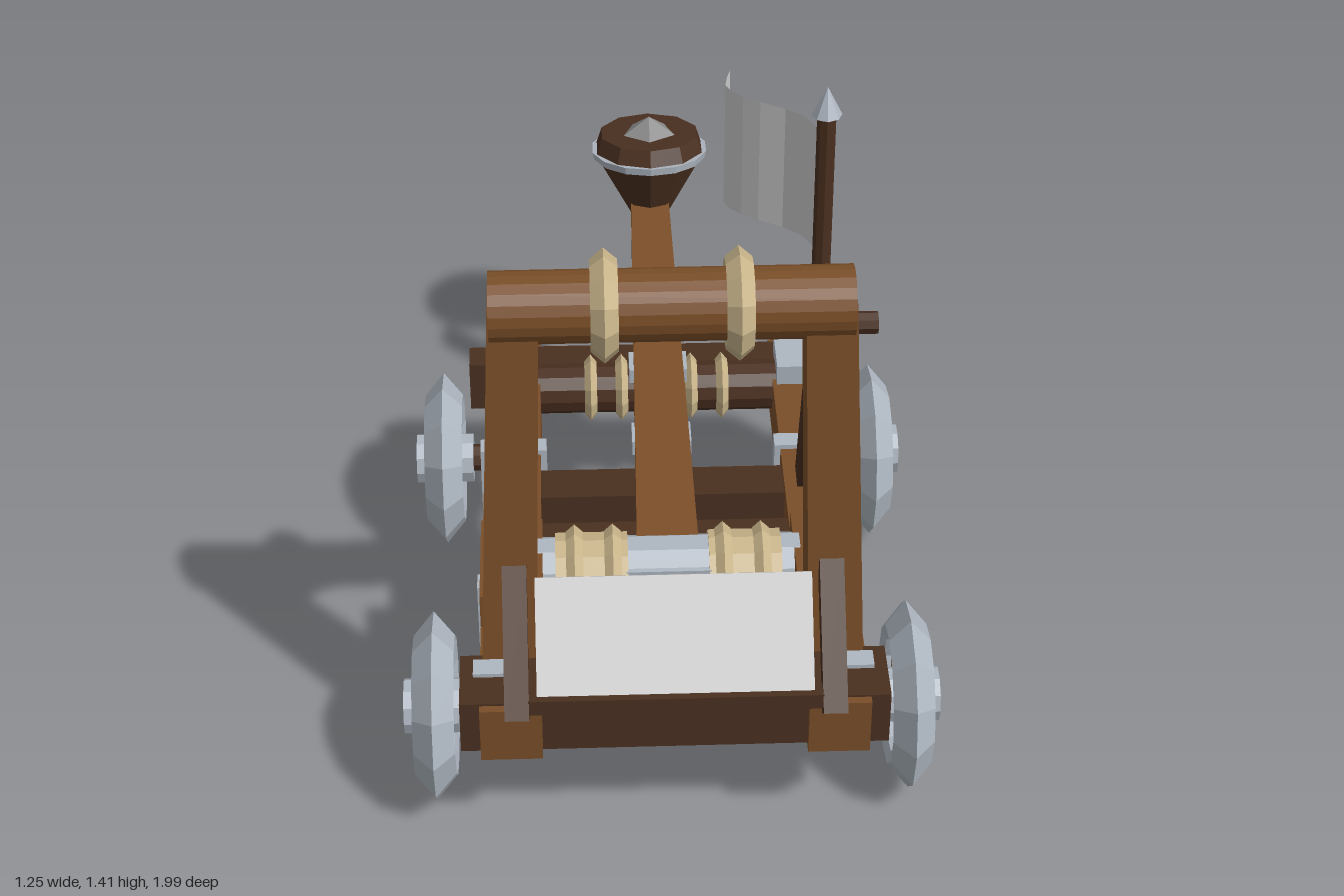
import * as THREE from 'three';

const mat = (color, side = THREE.FrontSide) => new THREE.MeshStandardMaterial({ color, flatShading: true, side });
const WOOD = mat(0x7a4e28), DARK = mat(0x4a3020), METAL = mat(0xaeb6c0), ROPE = mat(0xc8b48a);
const STONE = mat(0x8c8c8c), GREY = mat(0xcccccc), CLOTH = mat(0xcccccc, THREE.DoubleSide);
const V = (x, y, z) => new THREE.Vector3(x, y, z);

export function createModel() {
  const root = new THREE.Group();

  const add = (name, geo, m, x = 0, y = 0, z = 0, parent = root) => {
    const mesh = new THREE.Mesh(geo, m);
    mesh.name = name;
    mesh.position.set(x, y, z);
    parent.add(mesh);
    return mesh;
  };
  // box given by its limits on each axis
  const block = (name, m, [x0, x1], [y0, y1], [z0, z1]) =>
    add(name, new THREE.BoxGeometry(x1 - x0, y1 - y0, z1 - z0), m, (x0 + x1) / 2, (y0 + y1) / 2, (z0 + z1) / 2);
  // same box on both sides
  const pair = (name, m, [x0, x1], y, z) => {
    block(name, m, [x0, x1], y, z);
    block(name, m, [-x1, -x0], y, z);
  };
  // straight bar between two points
  const bar = (name, m, a, b, w, d) => {
    const mesh = add(name, new THREE.BoxGeometry(w, a.distanceTo(b), d), m);
    mesh.position.copy(a).add(b).multiplyScalar(0.5);
    mesh.quaternion.setFromUnitVectors(V(0, 1, 0), b.clone().sub(a).normalize());
    return mesh;
  };
  // cylinder lying along x
  const roller = (name, m, r, len, x, y, z, sides = 12, parent = root) =>
    add(name, new THREE.CylinderGeometry(r, r, len, sides).rotateZ(Math.PI / 2), m, x, y, z, parent);
  // ring about the x axis with a ridged outside
  const ring = (name, m, inner, shoulder, outer, half, x, y, z, parent = root) => {
    const pts = [[inner, -half * 0.8], [shoulder, -half], [outer, 0], [shoulder, half], [inner, half * 0.8], [inner, -half * 0.8]]
      .map(p => new THREE.Vector2(...p));
    return add(name, new THREE.LatheGeometry(pts, 12).rotateZ(Math.PI / 2), m, x, y, z, parent);
  };
  // six-sided solid whose x, y, z limits change from bottom to top
  const tapered = (name, m, bottom, top) => {
    const geo = new THREE.BoxGeometry(1, 1, 1), p = geo.attributes.position;
    for (let i = 0; i < p.count; i++) {
      const e = p.getY(i) < 0 ? bottom : top;
      p.setXYZ(i, p.getX(i) < 0 ? e.x[0] : e.x[1], e.y, p.getZ(i) < 0 ? e.z[0] : e.z[1]);
    }
    geo.computeVertexNormals();
    return add(name, geo, m);
  };

  // chassis
  pair('sideBeam', WOOD, [0.3, 0.44], [0.265, 0.41], [-0.465, 0.95]);
  pair('winchBlock', WOOD, [0.295, 0.44], [0.215, 0.5], [0.38, 0.66]);
  block('frontCrossBeam', DARK, [-0.485, 0.485], [0.275, 0.415], [0.765, 0.93]);
  block('rearCrossBeam', DARK, [-0.485, 0.485], [0.275, 0.415], [-0.45, -0.37]);
  for (const z of [0.05, 0.26]) block('innerCrossBar', DARK, [-0.31, 0.31], [0.29, 0.39], [z, z + 0.11]);
  for (const z of [-0.04, 0.485]) pair('ironStrap', METAL, [0.285, 0.45], [0.24, 0.422], [z, z + 0.05]);
  pair('frontPlate', METAL, [0.385, 0.455], [0.41, 0.425], [0.79, 0.84]);
  pair('rearPlate', METAL, [0.31, 0.435], [0.4, 0.465], [-0.41, -0.265]);

  // wheels
  for (const s of [-1, 1]) for (const z of [0.72, -0.225]) {
    const wheel = new THREE.Group();
    wheel.name = 'wheel';
    wheel.position.set(s * 0.55, 0.225, z);
    root.add(wheel);
    ring('tyre', METAL, 0.135, 0.165, 0.222, 0.048, 0, 0, 0, wheel);
    roller('hub', METAL, 0.065, 0.145, 0, 0, 0, 10, wheel);
    roller('stubAxle', DARK, 0.035, 0.15, -s * 0.13, 0, 0, 8, wheel);
    for (let i = 0; i < 6; i++) {
      const a = i * Math.PI / 3, spoke = add('spoke', new THREE.BoxGeometry(0.045, 0.11, 0.045), WOOD, 0, 0.1 * Math.sin(a), 0.1 * Math.cos(a), wheel);
      spoke.rotation.x = Math.PI / 2 - a;
    }
    // bearing under the side beam
    block('axleBlock', DARK, [s * 0.37 - 0.06, s * 0.37 + 0.06], [0.22, 0.28], [z - 0.06, z + 0.06]);
  }

  // uprights, rear braces and top roller
  for (const s of [-1, 1]) {
    const xs = (a, b) => s > 0 ? [a, b] : [-b, -a];
    tapered('upright', WOOD, { x: xs(0.31, 0.435), y: 0.4, z: [0.62, 0.78] }, { x: xs(0.285, 0.395), y: 1.32, z: [0.585, 0.7] });
    bar('rearBrace', DARK, V(s * 0.37, 0.38, 0.1), V(s * 0.335, 1.05, 0.6), 0.075, 0.065);
    bar('shieldArm', DARK, V(s * 0.355, 0.4, 0.97), V(s * 0.355, 0.665, 0.75), 0.055, 0.05);
    ring('topRopeRing', ROPE, 0.07, 0.1, 0.125, 0.03, s * 0.145, 1.29, 0.64);
  }
  roller('topRoller', WOOD, 0.08, 0.785, 0, 1.29, 0.64, 20);

  // front shield
  bar('shieldPanel', GREY, V(0, 0.44, 0.94), V(0, 0.65, 0.775), 0.62, 0.025);
  block('shieldRail', DARK, [-0.33, 0.33], [0.41, 0.45], [0.92, 0.965]);

  // front drum with rope coils
  roller('drum', METAL, 0.085, 0.62, 0, 0.42, 0.48, 10);
  for (const s of [-1, 1]) {
    roller('ropeCoil', ROPE, 0.093, 0.17, s * 0.18, 0.42, 0.48, 12);
    for (const x of [0.13, 0.22]) ring('coilRidge', ROPE, 0.08, 0.095, 0.112, 0.02, s * x, 0.42, 0.48);
  }
  block('armSocket', METAL, [-0.1, 0.1], [0.34, 0.475], [0.42, 0.555]);

  // throwing arm
  const armGeo = new THREE.BoxGeometry(1, 1, 1), ap = armGeo.attributes.position;
  for (let i = 0; i < ap.count; i++) {
    const front = ap.getZ(i) > 0, up = ap.getY(i) > 0;
    ap.setXYZ(i, Math.sign(ap.getX(i)) * (front ? 0.073 : 0.05),
      front ? (up ? 0.49 : 0.31) : (up ? 0.65 : 0.555), front ? 0.47 : -0.805);
  }
  armGeo.computeVertexNormals();
  add('throwingArm', armGeo, WOOD);
  for (const z of [0.05, -0.2]) block('armPlate', METAL, [-0.073, 0.073], [0.47 - z * 0.15, 0.51 - z * 0.15], [z - 0.04, z + 0.04]);
  block('armHook', METAL, [-0.035, 0.035], [0.475, 0.54], [-0.68, -0.62]);

  // bucket with stone
  const bucket = new THREE.Group();
  bucket.name = 'bucket';
  bucket.position.set(0, 0.59, -0.82);
  bucket.rotation.x = -0.15;
  root.add(bucket);
  add('bucketCone', new THREE.CylinderGeometry(0.145, 0.048, 0.18, 10), DARK, 0, 0.09, 0, bucket);
  add('bucketRim', new THREE.CylinderGeometry(0.155, 0.15, 0.02, 14), METAL, 0, 0.18, 0, bucket);
  add('bucketCollar', new THREE.CylinderGeometry(0.132, 0.147, 0.045, 10), DARK, 0, 0.21, 0, bucket);
  add('stone', new THREE.ConeGeometry(0.08, 0.05, 5), STONE, 0, 0.252, 0, bucket);

  // rear winch with rope to the arm
  roller('winchRoller', DARK, 0.065, 0.62, 0, 0.365, -0.33, 12);
  for (const x of [-0.17, -0.09, 0.09, 0.17]) ring('winchRopeRing', ROPE, 0.05, 0.068, 0.087, 0.016, x, 0.365, -0.33);
  add('pullRope', new THREE.TubeGeometry(new THREE.LineCurve3(V(0, 0.43, -0.33), V(0, 0.5, -0.64)), 1, 0.012, 6), ROPE);

  // crank on the left side
  roller('crankHandle', DARK, 0.03, 0.165, 0.49, 0.55, -0.335, 8);
  block('crankPost', METAL, [0.42, 0.47], [0.41, 0.56], [-0.365, -0.31]);
  block('crankFoot', METAL, [0.39, 0.475], [0.41, 0.45], [-0.44, -0.26]);
  bar('ratchetLever', METAL, V(0.41, 0.45, -0.36), V(0.41, 0.62, -0.44), 0.035, 0.035);

  // flag on its pole
  add('flagPole', new THREE.CylinderGeometry(0.023, 0.023, 0.9, 8), DARK, 0.4, 0.85, -0.145);
  add('poleTip', new THREE.ConeGeometry(0.037, 0.075, 8), METAL, 0.4, 1.325, -0.145);
  const wave = new THREE.CatmullRomCurve3([V(0.395, 0, -0.16), V(0.35, 0, -0.25), V(0.23, 0, -0.33), V(0.175, 0, -0.39), V(0.19, 0, -0.475)]);
  const flagGeo = new THREE.PlaneGeometry(1, 0.34, 9, 1), fp = flagGeo.attributes.position;
  for (let i = 0; i < fp.count; i++) {
    const c = wave.getPoint(fp.getX(i) + 0.5);
    fp.setXYZ(i, c.x, fp.getY(i) + 1.055, c.z);
  }
  flagGeo.computeVertexNormals();
  add('flag', flagGeo, CLOTH);

  return root;
}
